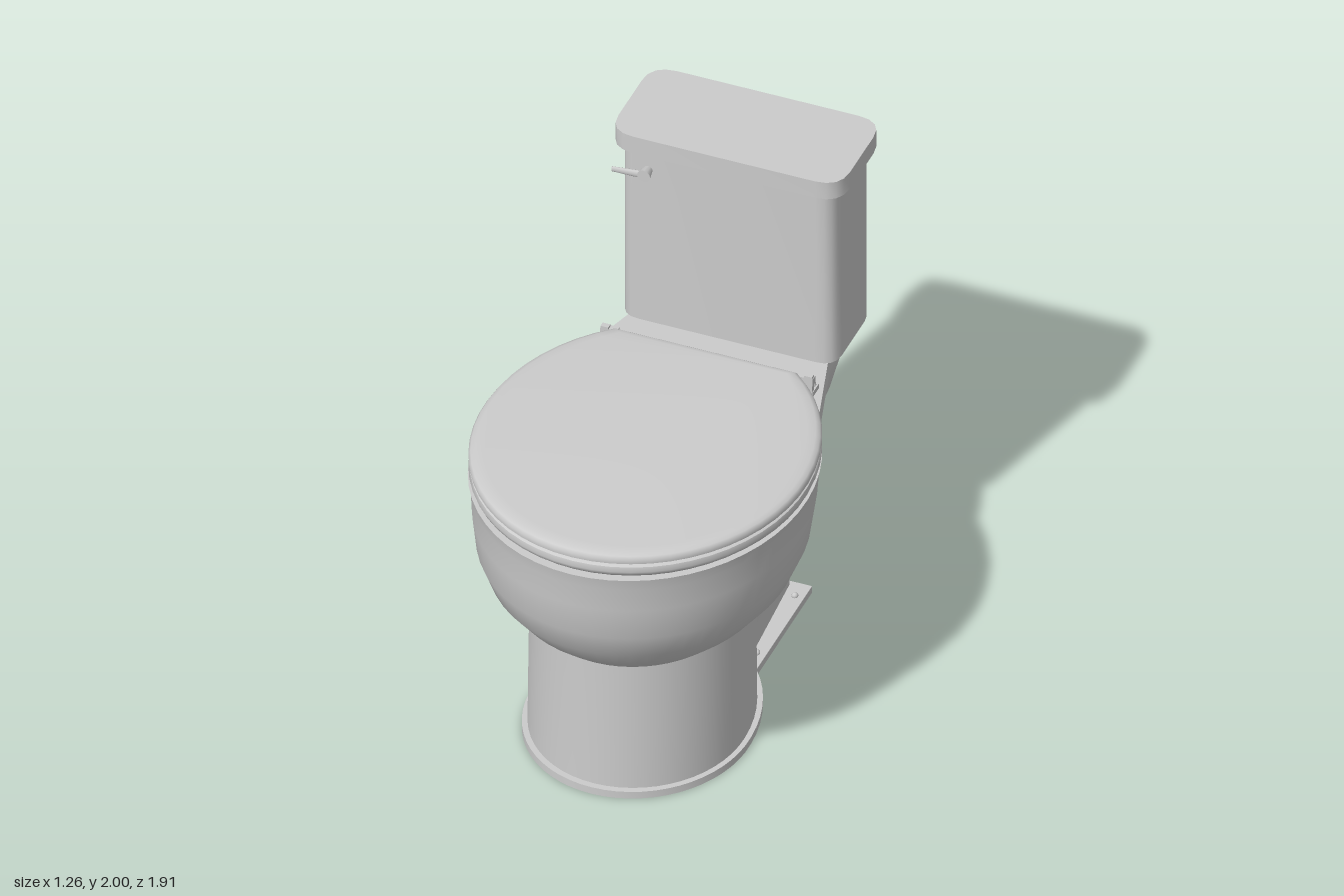
import * as THREE from 'three';
import { toCreasedNormals } from 'three/addons/utils/BufferGeometryUtils.js';

const material = new THREE.MeshStandardMaterial({ color: 0xcccccc });
const openMaterial = new THREE.MeshStandardMaterial({ color: 0xcccccc, side: THREE.DoubleSide });

// Oval in plan with a straight back edge: half width, front z, widest z, back z
function oval(rx, zf, zc, zb, t = 0.81, n = 44) {
  const cut = Math.asin(t);
  return Array.from({ length: n + 1 }, (_, i) => {
    const a = -cut + (Math.PI + 2 * cut) * i / n;
    const s = Math.sin(a);
    return [rx * Math.cos(a), zc + s * (s > 0 ? zf - zc : (zc - zb) / t)];
  });
}

// Skin stacked horizontal rings, given as { y, ring: [[x, z], ...] }
function loft(rows, crease, capBottom = true) {
  const pos = [], idx = [], n = rows[0].ring.length;
  rows.forEach(({ y, ring }) => ring.forEach(([x, z]) => pos.push(x, y, z)));
  for (let r = 0; r < rows.length - 1; r++) {
    for (let j = 0; j < n; j++) {
      const a = r * n + j, b = r * n + (j + 1) % n;
      idx.push(a, a + n, b, b, a + n, b + n);
    }
  }
  const top = (rows.length - 1) * n;
  for (let j = 1; j < n - 1; j++) {
    idx.push(top, top + j + 1, top + j);
    if (capBottom) idx.push(0, j, j + 1);
  }
  const g = new THREE.BufferGeometry();
  g.setAttribute('position', new THREE.Float32BufferAttribute(pos, 3));
  g.setIndex(idx);
  return toCreasedNormals(g, crease);
}

// Extrude a plan shape (drawn with y = -z) upward from y0 to y1
function slab(shape, y0, y1) {
  const g = new THREE.ExtrudeGeometry(shape, { depth: y1 - y0, bevelEnabled: false, curveSegments: 4 });
  return toCreasedNormals(g.rotateX(-Math.PI / 2).translate(0, y0, 0), 0.6);
}

const planShape = (pts) => new THREE.Shape(pts.map(([x, z]) => new THREE.Vector2(x, -z)));

function roundedRect(hw, z0, z1, r) {
  const s = new THREE.Shape(), a = -z1, b = -z0;
  s.moveTo(-hw + r, a).lineTo(hw - r, a).quadraticCurveTo(hw, a, hw, a + r);
  s.lineTo(hw, b - r).quadraticCurveTo(hw, b, hw - r, b);
  s.lineTo(-hw + r, b).quadraticCurveTo(-hw, b, -hw, b - r);
  s.lineTo(-hw, a + r).quadraticCurveTo(-hw, a, -hw + r, a);
  return s;
}

export function createModel() {
  const model = new THREE.Group();
  const add = (name, geometry, x = 0, y = 0, z = 0, mat = material) => {
    const m = new THREE.Mesh(geometry, mat);
    m.name = name;
    m.position.set(x, y, z);
    model.add(m);
    return m;
  };
  const cyl = (r0, r1, h, n = 12) => new THREE.CylinderGeometry(r0, r1, h, n);

  // Bowl and hollow pedestal: y, half width, front z, widest z, back z
  const bowlRows = [
    [0.01, 0.405, 0.725, 0.28, -0.155], [0.3, 0.402, 0.72, 0.28, -0.155],
    [0.58, 0.398, 0.72, 0.28, -0.155], [0.65, 0.475, 0.8, 0.27, -0.2],
    [0.75, 0.555, 0.88, 0.26, -0.25], [0.86, 0.6, 0.922, 0.25, -0.3],
    [1.0, 0.617, 0.94, 0.24, -0.33], [1.1, 0.622, 0.945, 0.235, -0.345],
    [1.15, 0.632, 0.955, 0.235, -0.35],
  ];
  add('bowl', loft(bowlRows.map(([y, ...o]) => ({ y, ring: oval(...o) })), 0.75, false), 0, 0, 0, openMaterial);

  // Rear column flaring into the tank shelf: y, front z, front half width, back z, back half width
  const columnRows = [
    [0.01, -0.15, 0.245, -0.65, 0.21], [0.62, -0.16, 0.255, -0.65, 0.21],
    [0.755, -0.235, 0.32, -0.65, 0.28], [0.79, -0.25, 0.335, -0.73, 0.29],
    [0.86, -0.285, 0.35, -0.79, 0.31], [1.0, -0.32, 0.36, -0.83, 0.34],
    [1.149, -0.33, 0.37, -0.83, 0.36],
  ];
  add('rearColumn', loft(columnRows.map(([y, zf, f, zb, b]) => (
    { y, ring: [[b, zb], [f, zf], [-f, zf], [-b, zb]] })), 0.6, false), 0, 0, 0, openMaterial);

  // Deck joining the bowl to the tank
  add('deck', slab(planShape([[-0.51, -0.165], [0.51, -0.165], [0.375, -0.63], [0.36, -0.83],
    [-0.36, -0.83], [-0.375, -0.63]]), 1.063, 1.15));

  // Foot flange, open in the middle
  const foot = planShape([...oval(0.425, 0.75, 0.28, -0.13, 0.73), [-0.29, -0.67], [0.29, -0.67]]);
  foot.holes.push(new THREE.Path([...oval(0.395, 0.715, 0.28, -0.15), [-0.21, -0.645], [0.21, -0.645]]
    .map(([x, z]) => new THREE.Vector2(x, -z))));
  add('footFlange', slab(foot, 0, 0.03));

  // Seat and lid with softened edges: y, inset from the full outline
  const ovalStack = (rows) => loft(rows.map(([y, d]) => (
    { y, ring: oval(0.632 - d, 0.942 - d, 0.235, -0.36 + d * 0.5, 0.82) })), 0.8);
  add('seat', ovalStack([[1.15, 0.022], [1.165, 0.006], [1.18, 0], [1.2, 0.004], [1.207, 0.015]]));
  add('seatGap', ovalStack([[1.2, 0.03], [1.215, 0.03]]));
  add('lid', ovalStack([[1.211, 0.012], [1.217, 0.002], [1.235, 0], [1.247, 0.008], [1.253, 0.025], [1.256, 0.06]]));

  // Tank
  add('tank', slab(roundedRect(0.422, -0.925, -0.56, 0.075), 1.15, 1.93));
  add('tankLid', slab(roundedRect(0.455, -0.957, -0.532, 0.1), 1.925, 2));

  // Flush handle
  add('handleHub', cyl(0.026, 0.018, 0.045).rotateX(Math.PI / 2), -0.31, 1.842, -0.54);
  add('handleLever', cyl(0.011, 0.017, 0.13).scale(1, 1, 0.5).rotateZ(Math.PI / 2 + 0.06), -0.373, 1.838, -0.527);

  // Hinges
  add('hingeRod', cyl(0.009, 0.009, 0.76).rotateZ(Math.PI / 2), 0, 1.215, -0.375);
  for (const s of [-1, 1]) {
    add('hingeSleeve', new THREE.BoxGeometry(0.065, 0.03, 0.03), s * 0.385, 1.215, -0.375);
    add('hingePost', new THREE.BoxGeometry(0.03, 0.09, 0.022), s * 0.4, 1.195, -0.37);
    add('hingeFoot', slab(roundedRect(0.018, -0.43, -0.36, 0.01), 1.148, 1.17), s * 0.4);
    add('hingeNut', cyl(0.01, 0.014, 0.02, 6), s * 0.4, 1.178, -0.405);
    // Floor bolts
    for (const z of [-0.22, -0.59]) {
      add('floorBolt', new THREE.SphereGeometry(0.013, 10, 6), s * 0.255, 0.034, z);
    }
  }

  // Water supply line with shut-off valve
  const px = -0.37, pz = -0.85;
  add('supplyPipe', cyl(0.009, 0.009, 1.15), px, 0.575, pz);
  add('pipeFlange', cyl(0.012, 0.022, 0.014), px, 0.007, pz);
  add('tankNut', cyl(0.02, 0.014, 0.02, 8), px, 1.142, pz);
  add('valveBody', cyl(0.015, 0.015, 0.045), px, 0.55, pz);
  add('valveStem', cyl(0.007, 0.007, 0.04).rotateX(Math.PI / 2), px, 0.55, pz - 0.02);
  add('valveKnob', cyl(0.012, 0.012, 0.012).scale(1.5, 1, 0.8).rotateX(Math.PI / 2), px, 0.55, pz - 0.04);
  add('valveOutlet', cyl(0.012, 0.008, 0.05).rotateZ(Math.PI / 2), px - 0.025, 0.55, pz);
  return model;
}
